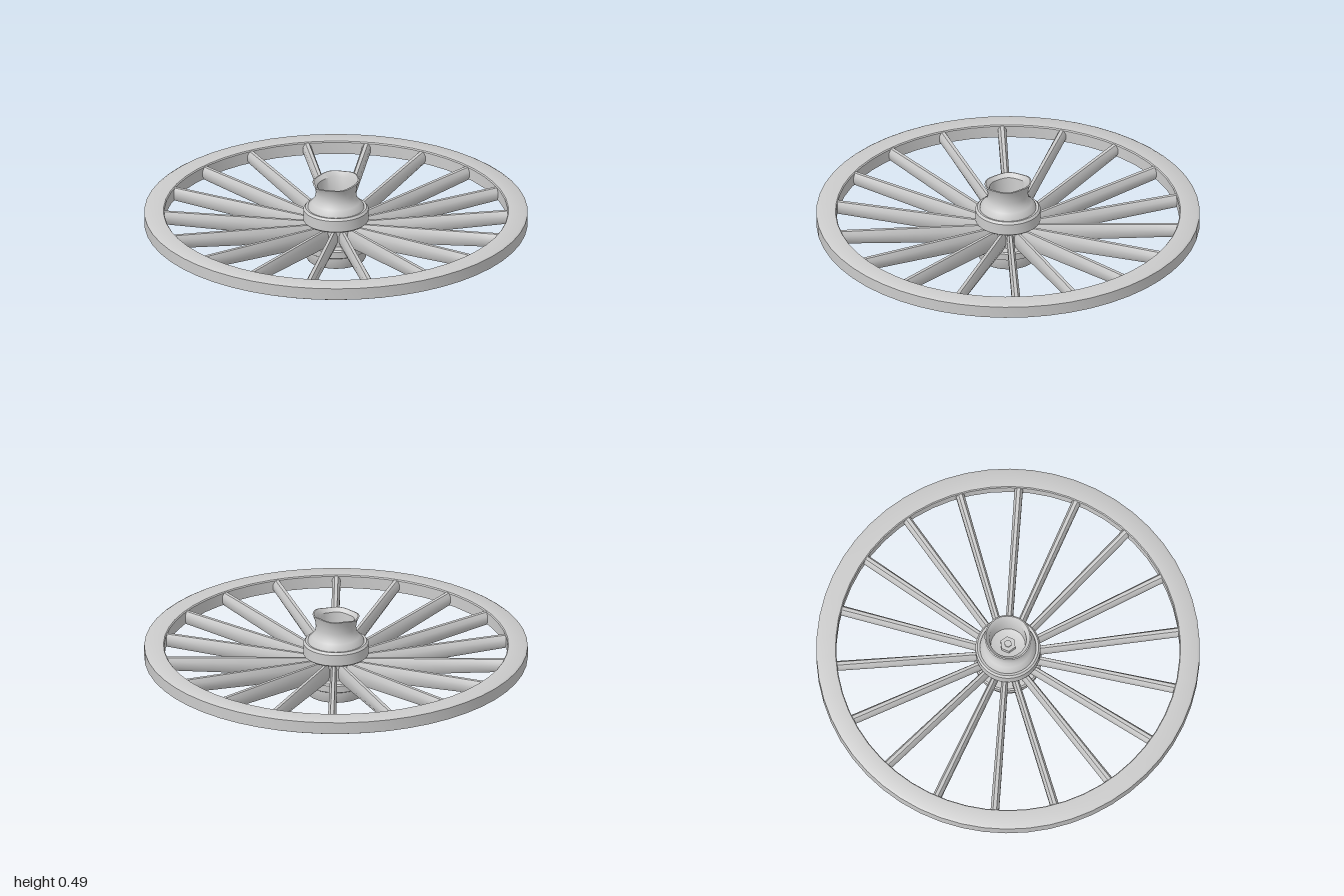
import * as THREE from 'three';
import { toCreasedNormals } from 'three/addons/utils/BufferGeometryUtils.js';

const material = new THREE.MeshStandardMaterial({ color: 0xcccccc });
const SPOKES = 18;

function addMesh(parent, name, geometry) {
  const mesh = new THREE.Mesh(toCreasedNormals(geometry, 0.6), material);
  mesh.name = name;
  parent.add(mesh);
  return mesh;
}

// Turned part; profile runs up the outside as [radius, y] pairs
function turned(profile, segments = 40) {
  return new THREE.LatheGeometry(profile.map(([r, y]) => new THREE.Vector2(r, y)), segments);
}

// Deep, chamfered spoke that rises from the hub to the rim
function spokeGeometry() {
  const geometry = new THREE.CylinderGeometry(1, 1, 1, 8, 6, false, Math.PI / 8);
  const pos = geometry.attributes.position;
  const { lerp } = THREE.MathUtils;
  for (let i = 0; i < pos.count; i++) {
    const t = pos.getY(i) + 0.5;
    const halfWidth = lerp(0.019, 0.024, t);
    const halfDepth = lerp(0.054, 0.038, t);
    const centre = lerp(0.193, 0.268, t);
    pos.setXYZ(i, lerp(0.1, 0.915, t), centre + pos.getZ(i) * halfDepth, pos.getX(i) * halfWidth);
  }
  return geometry;
}

export function createModel() {
  const wheel = new THREE.Group();
  wheel.name = 'wheel';

  // Rim with worn top edges
  addMesh(wheel, 'rim', turned([
    [0.895, 0.235], [0.985, 0.23], [1, 0.237], [1, 0.3], [0.988, 0.307],
    [0.9, 0.306], [0.895, 0.3], [0.895, 0.235],
  ], 54));

  // Spokes
  const spokes = new THREE.Group();
  spokes.name = 'spokes';
  spokes.position.set(0.008, 0, -0.01);
  wheel.add(spokes);
  const spoke = spokeGeometry();
  for (let i = 0; i < SPOKES; i++) {
    addMesh(spokes, 'spoke', spoke).rotation.y = (i / SPOKES) * Math.PI * 2;
  }

  // Hub: drum below, core between the spokes, flange above
  const hub = new THREE.Group();
  hub.name = 'hub';
  wheel.add(hub);
  addMesh(hub, 'lowerDrum', turned([
    [0, 0.05], [0.125, 0.05], [0.135, 0.04], [0.15, 0.04], [0.157, 0.05], [0.16, 0.1],
    [0.174, 0.108], [0.176, 0.145], [0.168, 0.152], [0, 0.152],
  ]));
  addMesh(hub, 'hubCore', turned([[0.125, 0.14], [0.125, 0.27]]));
  addMesh(hub, 'upperFlange', turned([
    [0, 0.25], [0.16, 0.25], [0.17, 0.258], [0.17, 0.318], [0.16, 0.33],
    [0.145, 0.326], [0, 0.326],
  ]));

  // Hollow neck with a flared lip that is worn down on one side
  const neck = turned([
    [0.148, 0.32], [0.145, 0.338], [0.125, 0.36], [0.11, 0.38], [0.105, 0.41],
    [0.11, 0.45], [0.122, 0.478], [0.115, 0.48], [0.096, 0.455], [0.09, 0.36],
    [0.06, 0.35], [0, 0.35],
  ]);
  const pos = neck.attributes.position;
  for (let i = 0; i < pos.count; i++) {
    const x = pos.getX(i), y = pos.getY(i), z = pos.getZ(i);
    const lift = Math.max(0, (y - 0.41) / 0.07);
    const wave = 0.003 * Math.sin(5 * Math.atan2(z, x));
    pos.setY(i, y + lift * (0.05 * x - 0.08 * z + wave - 0.004));
  }
  addMesh(hub, 'neck', neck);

  // Axle nuts at both ends and the cap underneath
  const nut = (name, radius, height, y) =>
    addMesh(hub, name, new THREE.CylinderGeometry(radius, radius, height, 6)).position.y = y;
  nut('upperNut', 0.042, 0.03, 0.362);
  nut('upperAxleEnd', 0.02, 0.04, 0.365);
  addMesh(hub, 'capNeck', turned([[0.05, 0.025], [0.05, 0.06]]));
  addMesh(hub, 'cap', turned([
    [0, 0.009], [0.055, 0.007], [0.066, 0.014], [0.072, 0.03], [0.066, 0.036], [0, 0.036],
  ], 24));
  nut('lowerNut', 0.038, 0.02, 0.01);

  return wheel;
}
